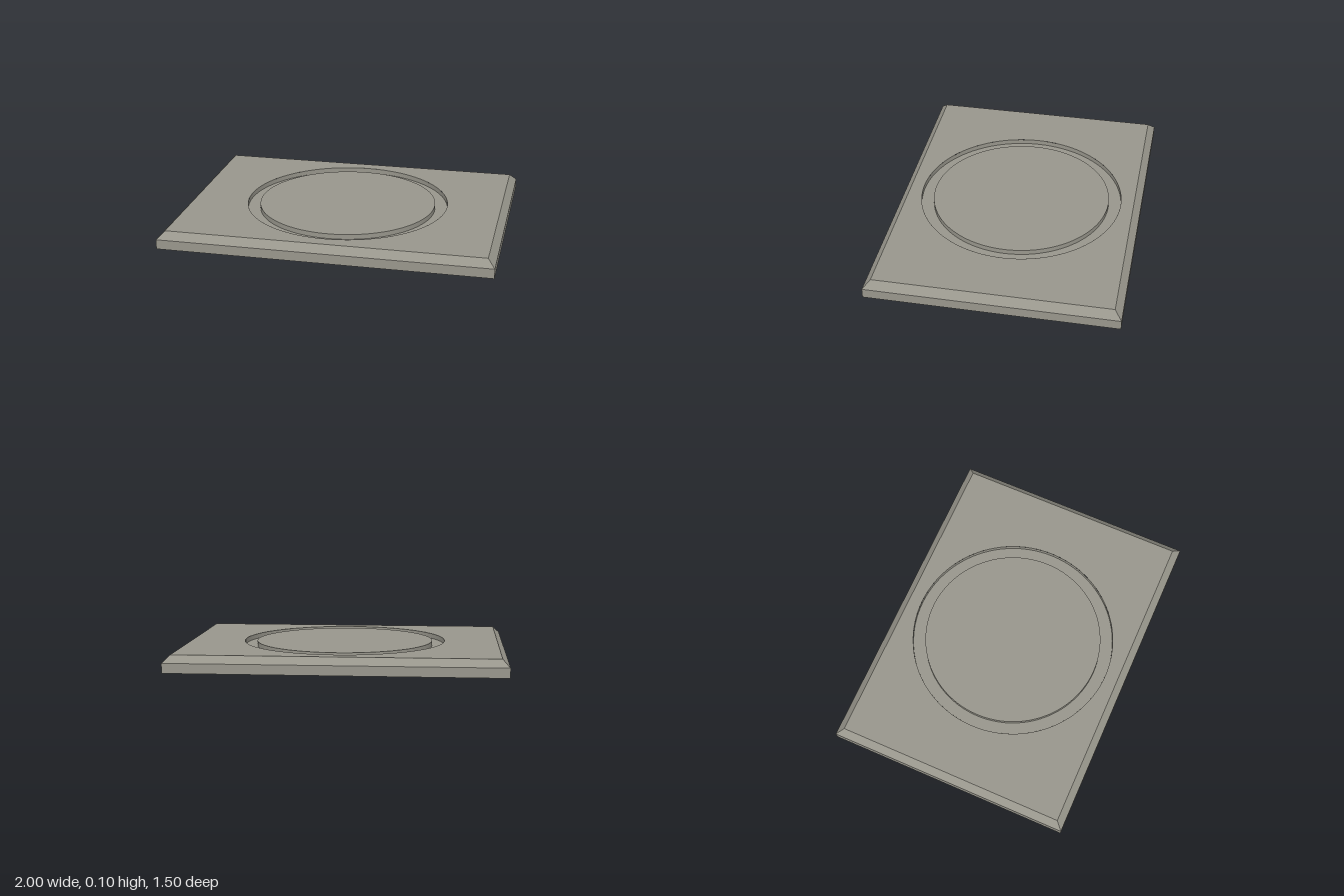
import * as THREE from 'three';
import { toCreasedNormals } from 'three/addons/utils/BufferGeometryUtils.js';

const TOP = 0.103, WALL = 0.059, BEVEL = 0.043;
const HALF_X = 1, HALF_Z = 0.75;
const R_OUT = 0.627, R_IN = 0.55, DEPTH = 0.03, SEGMENTS = 96;

// Rectangular band joining two outlines, each given as [inset, height]
function band([insetA, yA], [insetB, yB]) {
  const corners = [[-1, 1], [1, 1], [1, -1], [-1, -1]];
  const at = (i, inset, y) => {
    const [sx, sz] = corners[i % 4];
    return [sx * (HALF_X - inset), y, sz * (HALF_Z - inset)];
  };
  const pos = [];
  for (let i = 0; i < 4; i++) {
    const a = at(i, insetA, yA), b = at(i + 1, insetA, yA);
    const c = at(i + 1, insetB, yB), d = at(i, insetB, yB);
    pos.push(...a, ...b, ...c, ...a, ...c, ...d);
  }
  const geometry = new THREE.BufferGeometry();
  geometry.setAttribute('position', new THREE.Float32BufferAttribute(pos, 3));
  geometry.computeVertexNormals();
  return geometry;
}

export function createModel() {
  const model = new THREE.Group();
  model.name = 'recessedPanel';
  const stone = new THREE.MeshStandardMaterial({ color: 0x98968c, side: THREE.DoubleSide });
  stone.name = 'warmGrey';
  const add = (name, geometry) => {
    const mesh = new THREE.Mesh(geometry, stone);
    mesh.name = name;
    model.add(mesh);
    return mesh;
  };

  // Open-bottomed shell: upright rim and sloping edge
  add('rim', band([0, 0], [0, WALL]));
  add('bevel', band([0, WALL], [BEVEL, TOP]));

  // Flat top with a round opening
  const x = HALF_X - BEVEL, z = HALF_Z - BEVEL;
  const outline = new THREE.Shape([[-x, -z], [x, -z], [x, z], [-x, z]].map(p => new THREE.Vector2(...p)));
  outline.holes.push(new THREE.Path().absarc(0, 0, R_OUT, 0, Math.PI * 2, true));
  add('topPlate', new THREE.ShapeGeometry(outline, SEGMENTS).rotateX(-Math.PI / 2).translate(0, TOP, 0));

  // Sunken ring channel
  const profile = [[R_OUT, TOP], [R_OUT, TOP - DEPTH], [R_IN, TOP - DEPTH], [R_IN, TOP]];
  const channel = new THREE.LatheGeometry(profile.map(p => new THREE.Vector2(...p)).reverse(), SEGMENTS);
  add('ringChannel', toCreasedNormals(channel, Math.PI / 6));

  // Central disc level with the top
  add('centreDisc', new THREE.CircleGeometry(R_IN, SEGMENTS).rotateX(-Math.PI / 2).translate(0, TOP, 0));

  return model;
}
